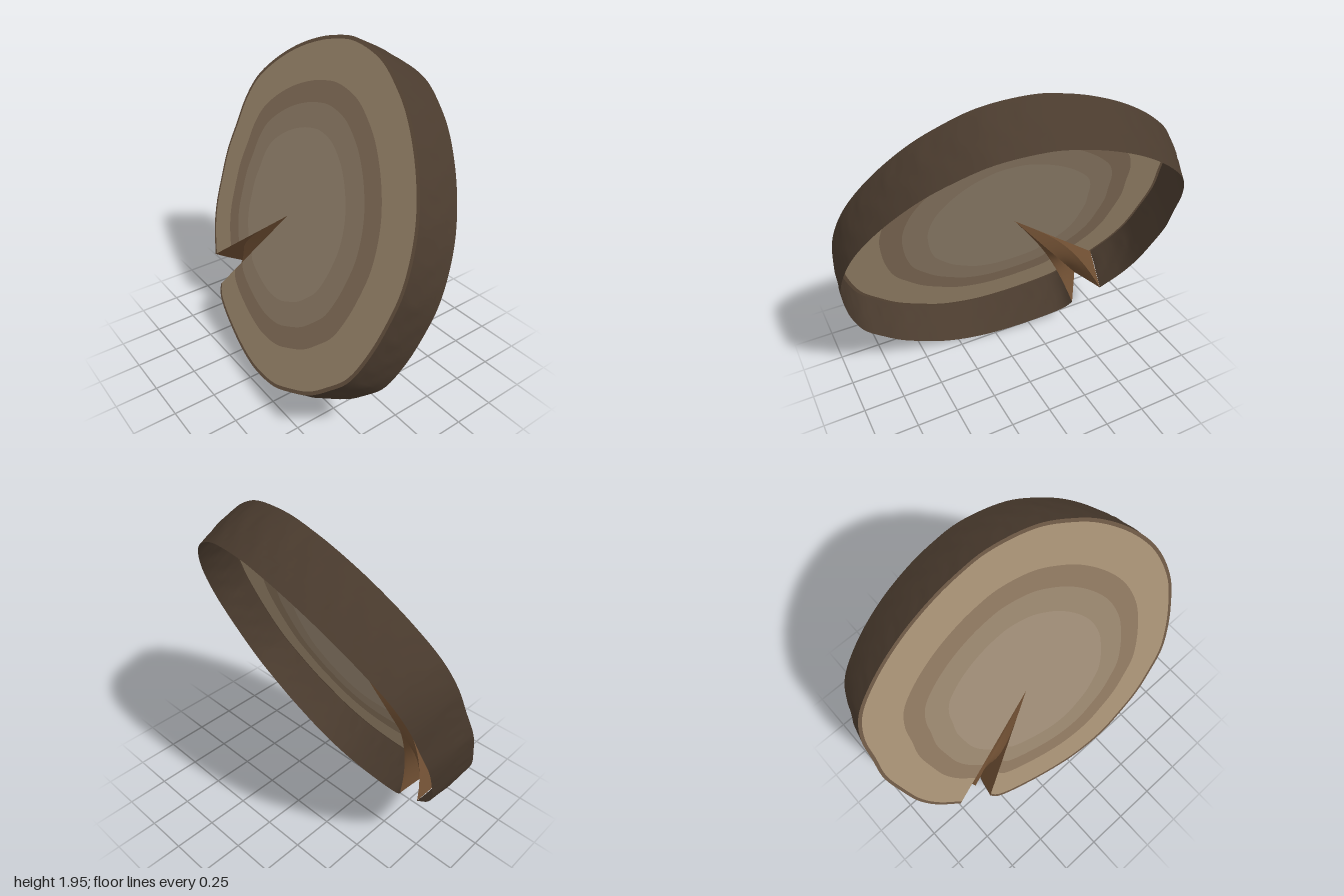
import * as THREE from 'three';

// Rim of the sawn face (x, y), from one lip of the split around to the other
const RIM = [
  [-0.58, 0.3], [-0.55, 0.25], [-0.47, 0.21], [-0.31, 0.165], [-0.12, 0.13], [0.06, 0.12], [0.28, 0.155], [0.44, 0.225],
  [0.6, 0.315], [0.73, 0.43], [0.84, 0.55], [0.92, 0.74], [0.96, 0.92], [0.975, 1.06], [0.96, 1.2],
  [0.92, 1.34], [0.86, 1.46], [0.75, 1.61], [0.6, 1.755], [0.47, 1.84], [0.28, 1.925], [0.01, 1.955],
  [-0.15, 1.93], [-0.31, 1.885], [-0.53, 1.79], [-0.74, 1.655], [-0.89, 1.51], [-0.955, 1.36],
  [-0.975, 1.2], [-0.995, 1.03], [-0.97, 0.84], [-0.935, 0.68], [-0.87, 0.55], [-0.755, 0.415],
];
const HEART = [-0.09, 0.965];
const curve = new THREE.CatmullRomCurve3(RIM.map(([x, y]) => new THREE.Vector3(x, y, 0)), false, 'centripetal');
const STEPS = 150;
const rim = curve.getSpacedPoints(STEPS);

// Places a flat point on the tilted slice; s runs from the face (0) to the back edge (1)
function place(x, y, s) {
  const z = 0.12 - 0.405 * (y - 1.05) + 0.12 * x;
  const depth = 0.232 + 0.021 * y - 0.02 * x - 0.03 * x * x;
  return new THREE.Vector3(x + s * (0.05 - 0.02 * x), y - s * (0.115 + 0.022 * y), z - s * depth);
}

// Point between heart (r = 0) and a rim point (r = 1)
function slice(p, r, s) {
  return place(HEART[0] + (p.x - HEART[0]) * r, HEART[1] + (p.y - HEART[1]) * r, s);
}

// Smooth surface from a rule over a grid of nu by nv cells
function grid(nu, nv, rule) {
  const pos = [], index = [];
  for (let j = 0; j <= nv; j++)
    for (let i = 0; i <= nu; i++) pos.push(...rule(i, j / nv).toArray());
  for (let j = 0; j < nv; j++)
    for (let i = 0; i < nu; i++) {
      const a = j * (nu + 1) + i, c = a + nu + 1;
      index.push(a, a + 1, c + 1, a, c + 1, c);
    }
  const g = new THREE.BufferGeometry();
  g.setAttribute('position', new THREE.Float32BufferAttribute(pos, 3));
  g.setIndex(index);
  g.computeVertexNormals();
  return g;
}

export function createModel() {
  const model = new THREE.Group();
  model.name = 'woodSlice';
  const add = (name, color, geometry) => {
    const mesh = new THREE.Mesh(geometry, new THREE.MeshStandardMaterial({ color, side: THREE.DoubleSide }));
    mesh.name = name;
    model.add(mesh);
  };

  // Bark: thin ridged band, open at the back
  add('bark', 0x4a3b2e, grid(STEPS, 10, (i, v) => {
    const s = 1 - v;
    const ridge = Math.sin(i * 1.9 + 2 * Math.sin(s * 5)) * Math.sin(i * 0.53 + s * 3);
    return slice(rim[i], 1 + Math.sin(Math.PI * s) * (0.005 + 0.005 * ridge), s);
  }));

  // Growth rings of the single sawn face
  const bands = [
    ['heartwood', 0, 0.5, 0x9c8a74],
    ['innerRing', 0.5, 0.64, 0x95826b],
    ['darkRing', 0.64, 0.76, 0x8a745d],
    ['sapwood', 0.76, 0.98, 0xa28d71],
    ['barkEdge', 0.98, 1, 0x6b5643],
  ];
  for (const [name, r0, r1, color] of bands)
    add(name, color, grid(STEPS, 3, (i, v) => slice(rim[i], r1 + (r0 - r1) * v, 0)));

  // Drying split: a folded groove from heart to rim, whose walls deepen sharply near the bark.
  // Each edge is a flat rim point, its depth at the rim and how late it deepens.
  const N = 20;
  const edge = (p, s, power) => (r) => slice(p, r, s * r ** power);
  const lower = rim[0], upper = rim[STEPS];
  const edges = [
    edge(lower, 0, 1),
    edge(lower, 1, 4),
    edge(new THREE.Vector3(-0.63, 0.352, 0), 0.33, 1),
    edge(upper, 1, 4),
    edge(upper, 0, 1),
  ];
  ['splitWallLower', 'splitFoldLower', 'splitFoldUpper', 'splitWallUpper'].forEach((name, k) =>
    add(name, 0x6e4e32, grid(N, 4, (i, v) => edges[k + 1](i / N).lerp(edges[k](i / N), v))));

  return model;
}
